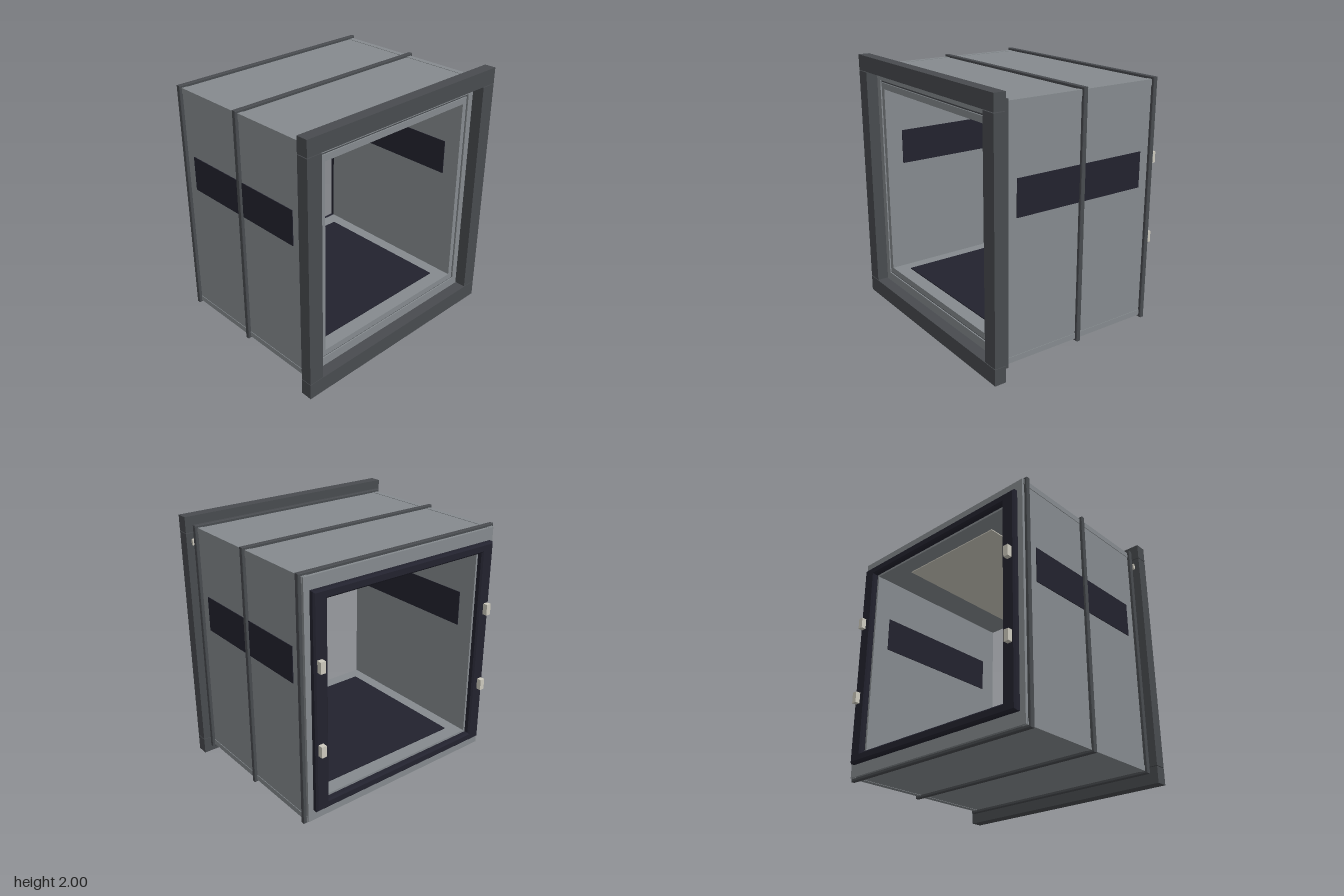
import * as THREE from 'three';

const mat = (name, color) => {
  const m = new THREE.MeshStandardMaterial({ color });
  m.name = name;
  return m;
};

export function createModel() {
  const group = new THREE.Group();
  const panel = mat('panelGrey', 0x858a8e);
  const frame = mat('frameGrey', 0x484b4f);
  const navy = mat('darkNavy', 0x22222e);
  const pale = mat('paleBeige', 0xccc9bd);
  const MID = 1.005; // height of the tunnel axis

  const add = (name, geometry, material) => {
    const mesh = new THREE.Mesh(geometry, material);
    mesh.name = name;
    group.add(mesh);
    return mesh;
  };

  // Box given by its limits on each axis
  const box = (name, material, x0, x1, y0, y1, z0, z1) => {
    const mesh = add(name, new THREE.BoxGeometry(x1 - x0, y1 - y0, z1 - z0), material);
    mesh.position.set((x0 + x1) / 2, (y0 + y1) / 2, (z0 + z1) / 2);
    return mesh;
  };

  // Rectangular ring around the tunnel axis; sizes are half widths and half heights
  const ring = (name, material, w, h, iw, ih, z0, z1, bevel = 0) => {
    const rect = (Type, a, b) => {
      const p = new Type();
      p.moveTo(-a, -b);
      p.lineTo(a, -b);
      p.lineTo(a, b);
      p.lineTo(-a, b);
      p.closePath();
      return p;
    };
    const shape = rect(THREE.Shape, w - bevel, h - bevel);
    shape.holes.push(rect(THREE.Path, iw + bevel, ih + bevel));
    const geometry = new THREE.ExtrudeGeometry(shape, {
      depth: z1 - z0 - 2 * bevel,
      bevelEnabled: bevel > 0, bevelSize: bevel, bevelThickness: bevel, bevelSegments: 1,
    });
    add(name, geometry, material).position.set(0, MID, z0 + bevel);
  };

  // Tunnel: outer shell, gasket and inner liner
  ring('shell', panel, 0.85, 0.915, 0.75, 0.81, -0.68, 0.68);
  ring('gasket', frame, 0.75, 0.81, 0.73, 0.795, -0.67, 0.67);
  ring('liner', panel, 0.73, 0.795, 0.69, 0.747, -0.68, 0.68);

  // Ribs around the shell
  for (const z of [-0.64, 0, 0.64]) {
    ring('rib', frame, 0.873, 0.935, 0.84, 0.905, z - 0.018, z + 0.018, 0.004);
  }

  // Front frame of two beams and two posts
  box('topBeam', frame, -0.92, 0.92, 1.88, 2, 0.68, 0.77);
  box('bottomBeam', frame, -0.92, 0.92, 0, 0.125, 0.68, 0.77);

  // Rear seal
  ring('rearSeal', navy, 0.81, 0.825, 0.7, 0.757, -0.73, -0.675, 0.012);

  for (const s of [-1, 1]) {
    const side = (name, material, x0, x1, ...rest) =>
      box(name, material, Math.min(s * x0, s * x1), Math.max(s * x0, s * x1), ...rest);

    side('post', frame, 0.8, 0.92, 0.13, 1.875, 0.68, 0.77);
    side('bolt', pale, 0.83, 0.88, 1.785, 1.83, 0.662, 0.682);

    // Corner trims along the shell
    side('topTrim', panel, 0.81, 0.854, 1.88, 1.923, -0.67, 0.67);
    side('bottomTrim', panel, 0.81, 0.854, 0.087, 0.13, -0.67, 0.67);

    // Dark bands outside and inside each wall
    side('outerBand', navy, 0.848, 0.855, 1.14, 1.41, -0.545, 0.545);
    side('innerBand', navy, 0.686, 0.692, 1.14, 1.41, -0.545, 0.545);

    // Latches on the rear seal
    for (const y of [0.685, 1.317]) {
      side('latch', pale, 0.75, 0.79, y - 0.043, y + 0.043, -0.768, -0.725);
    }
  }

  // Floor mat and ceiling light
  box('floorMat', navy, -0.59, 0.59, 0.256, 0.265, -0.57, 0.57);
  box('ceilingLight', pale, -0.44, 0.44, 1.745, 1.754, -0.55, 0.55);

  return group;
}
